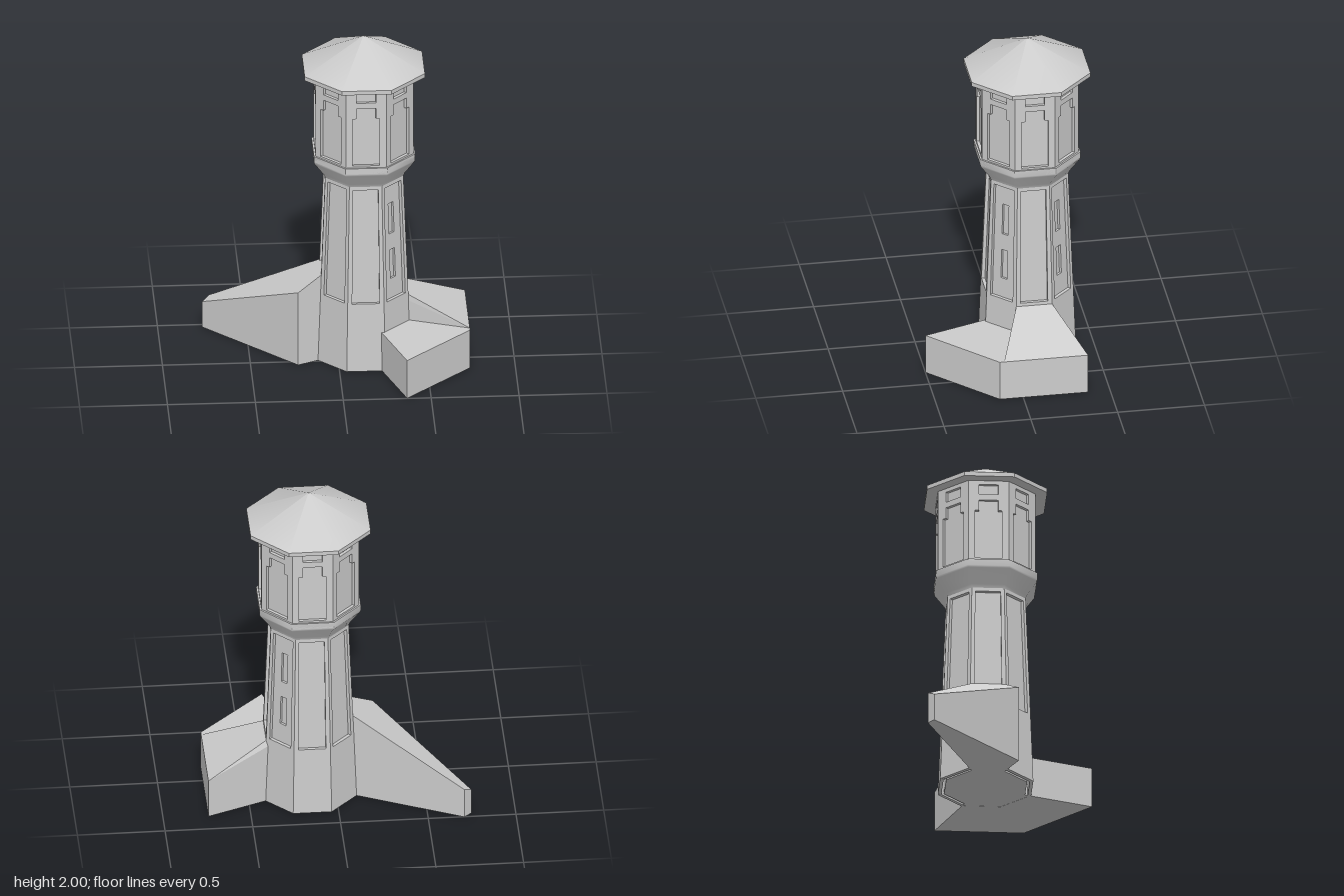
import * as THREE from 'three';
import { ConvexGeometry } from 'three/addons/geometries/ConvexGeometry.js';

const stone = new THREE.MeshStandardMaterial({ color: 0xcccccc });
stone.name = 'pale stone';

const TAN = Math.tan(Math.PI / 8);
const COS = Math.cos(Math.PI / 8);

function mesh(name, geometry, parent) {
  const m = new THREE.Mesh(geometry, stone);
  m.name = name;
  parent.add(m);
  return m;
}

// Faceted octagonal frustum, sized by the distance from axis to face
function octagon(bottom, top, y0, y1) {
  const g = new THREE.CylinderGeometry(top / COS, bottom / COS, y1 - y0, 8, 1, false, Math.PI / 8)
    .toNonIndexed();
  g.computeVertexNormals();
  return g.translate(0, (y0 + y1) / 2, 0);
}

// Smoothly shaded octagonal skin from [distance, y] pairs, bottom to top
function smoothOctagon(profile) {
  const points = profile.map(([a, y]) => new THREE.Vector2(a / COS, y));
  return new THREE.LatheGeometry(points, 8, Math.PI / 8);
}

// Outline mirrored about x = 0 from [halfWidth, y] pairs, bottom to top
function mirrored(pairs, Type) {
  const right = pairs.map(([x, y]) => new THREE.Vector2(x, y));
  const left = pairs.map(([x, y]) => new THREE.Vector2(-x, y)).reverse();
  return new Type([...right, ...left]);
}

// Wall plate with openings; its outer face lies on z = -inset
function plate(outline, openings, depth, inset) {
  const shape = mirrored(outline, THREE.Shape);
  shape.holes = openings.map((o) => mirrored(o, THREE.Path));
  return new THREE.ExtrudeGeometry(shape, { depth, bevelEnabled: false }).translate(0, 0, -depth - inset);
}

const hull = (points) => new ConvexGeometry(points.map((p) => new THREE.Vector3(...p)));

export function createModel() {
  const model = new THREE.Group();
  model.name = 'waterTower';
  const tower = new THREE.Group();
  tower.name = 'tower';
  tower.position.set(0.15, 0, -0.12);
  model.add(tower);

  // Tapered shaft core
  const base = 0.265, neck = 0.222, shaftTop = 1.157;
  const lean = Math.atan((base - neck) / shaftTop);
  mesh('shaftCore', octagon(base - 0.035, neck - 0.035, 0, shaftTop), tower);

  // Shaft walls: framed recessed panels, with window slits on two faces
  const shaftOutline = [[base * TAN, 0], [neck * TAN, shaftTop]];
  const shaftPanel = [[0.078, 0.42], [0.072, 1.13]];
  const slits = [[0.54, 0.72], [0.82, 1.01]].map(([a, b]) => [[0.021, a], [0.021, b]]);
  const shaftFrame = plate(shaftOutline, [shaftPanel], 0.02, 0);
  const panelOutline = [[0.088, 0.38], [0.082, 1.145]];
  const plainPanel = plate(panelOutline, [], 0.014, 0.02);
  const slitPanel = plate(panelOutline, slits, 0.014, 0.02);

  // Drum core and walls with stepped niches and small upper windows
  const drum = 0.278, drumBottom = 1.29, drumTop = 1.8;
  mesh('drumCore', octagon(drum - 0.018, drum - 0.018, drumBottom, drumTop), tower);
  const niche = [[0.077, 1.312], [0.077, 1.61], [0.055, 1.61], [0.055, 1.675]];
  const upperWindow = [[0.055, 1.71], [0.055, 1.772]];
  const drumFrame = plate([[drum * TAN, drumBottom], [drum * TAN, drumTop]],
    [niche, upperWindow], 0.018, 0);

  for (let i = 0; i < 8; i++) {
    const side = new THREE.Group();
    side.name = 'towerSide';
    side.rotation.y = i * Math.PI / 4;
    tower.add(side);
    const wall = new THREE.Group();
    wall.name = 'shaftWall';
    wall.position.z = base;
    wall.rotation.x = -lean;
    side.add(wall);
    mesh('shaftFrame', shaftFrame, wall);
    mesh('shaftPanel', i === 1 || i === 3 ? slitPanel : plainPanel, wall);
    mesh('drumWall', drumFrame, side).position.z = drum;
  }

  // Flared collar under the drum
  mesh('collar', smoothOctagon([[neck, 1.15], [0.23, 1.17], [0.284, 1.25], [0.288, 1.262], [0.288, 1.295]]), tower);
  mesh('collarLedge', octagon(0.288, 0.288, 1.265, 1.3), tower);

  // Overhanging roof
  mesh('roofEave', octagon(0.342, 0.342, 1.795, 1.82), tower);
  mesh('roof', smoothOctagon([[0.342, 1.82], [0, 2]]), tower);

  // Low flat-topped block on the front left
  const block = [[0.15, -0.12], [0.26, 0.145], [0.363, 0.5], [0.742, 0.135], [0.742, -0.1]];
  mesh('lowBlock', hull(block.flatMap(([x, z]) => [[x, 0, z], [x, 0.24, z]])), model);

  // Sloped buttress on the left
  mesh('slopedButtress', hull([
    [0.3, 0, -0.05], [0.3, 0, -0.2], [0.742, 0, 0.11], [0.742, 0, -0.373],
    [0.415, 0, -0.012], [0.415, 0, -0.23],
    [0.3, 0.4, -0.05], [0.3, 0.4, -0.2], [0.4, 0.4, -0.017], [0.4, 0.4, -0.223],
    [0.742, 0.24, 0.11], [0.742, 0.24, -0.373],
  ]), model);

  // Long tapering wing wall on the right, its top falling steadily outwards
  const wing = [[-0.05, -0.04], [-0.05, -0.2], [-0.23, 0.045], [-0.748, -0.468], [-0.705, -0.503]];
  const wingTop = (x) => 0.54 + (x + 0.09) * 0.576;
  mesh('wingWall', hull(wing.flatMap(([x, z]) => [[x, 0, z], [x, wingTop(x), z]])), model);

  return model;
}
